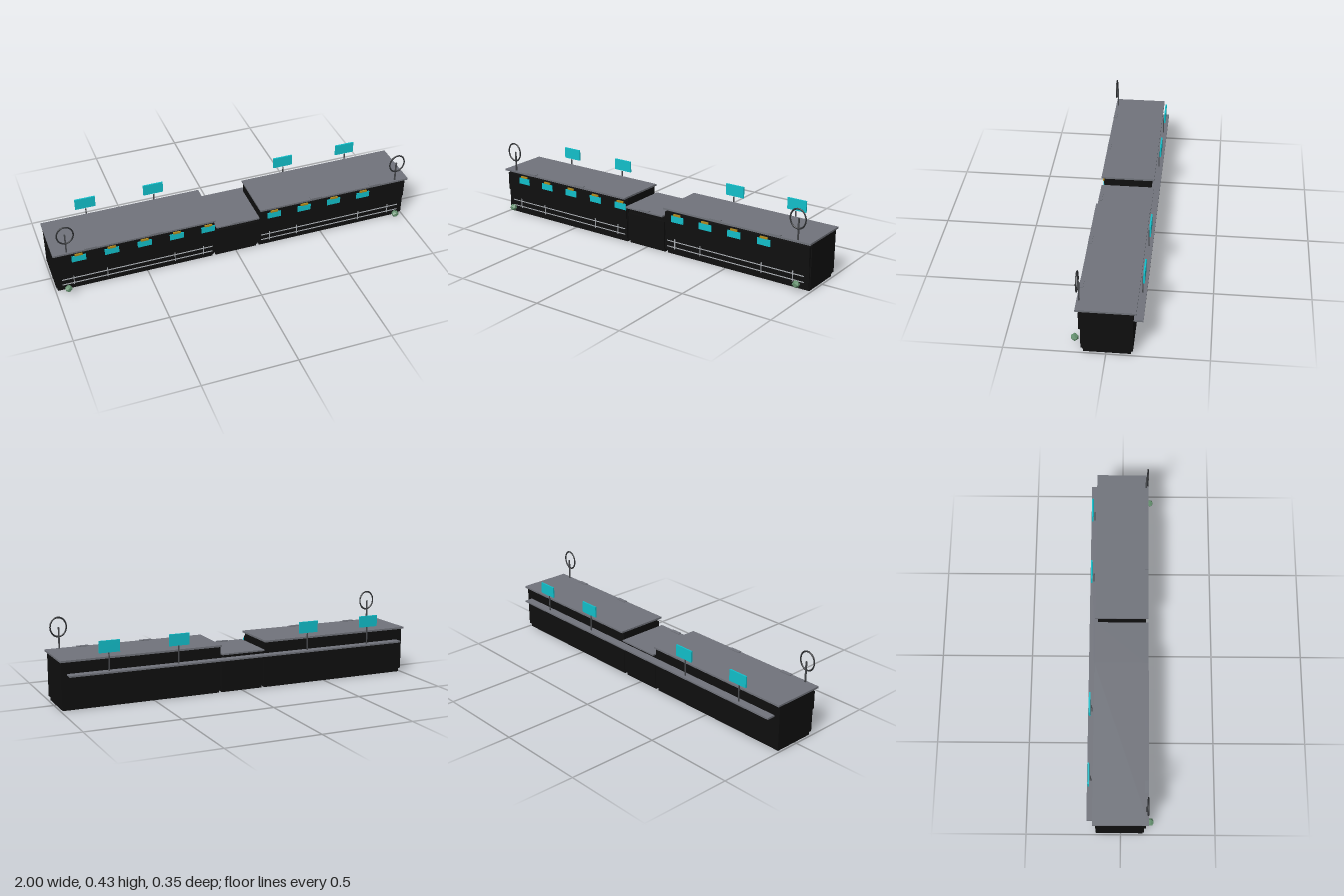
import * as THREE from 'three';

const mat = (name, color, extra = {}) => new THREE.MeshStandardMaterial({ name, color, ...extra });

export function createModel() {
  const black = mat('cabinet black', 0x0f0f0f);
  const grey = mat('worktop grey', 0x70737b);
  const darkGrey = mat('post grey', 0x47494d);
  const ringGrey = mat('ring dark grey', 0x2e3033);
  const silver = mat('rail silver', 0xa9adb2);
  const cyan = mat('screen cyan', 0x12bfca);
  const gold = mat('lamp gold', 0xb08a1e);
  const green = mat('ornament green', 0x64906e, { flatShading: true });

  const root = new THREE.Group();
  root.name = 'counter';

  // Box given by its min and max on each axis
  const box = (parent, name, material, [x0, x1], [y0, y1], [z0, z1]) => {
    const m = new THREE.Mesh(new THREE.BoxGeometry(x1 - x0, y1 - y0, z1 - z0), material);
    m.position.set((x0 + x1) / 2, (y0 + y1) / 2, (z0 + z1) / 2);
    m.name = name;
    parent.add(m);
    return m;
  };
  const around = (c, size) => [c - size / 2, c + size / 2];
  const span = (s, a, b) => (s > 0 ? [a, b] : [-b, -a]);

  // Low middle section
  const middle = new THREE.Group();
  middle.name = 'middleSection';
  root.add(middle);
  box(middle, 'middlePlinth', black, [-0.117, 0.117], [0, 0.022], [-0.12, 0.11]);
  box(middle, 'middleCabinet', black, [-0.122, 0.122], [0.022, 0.207], [-0.13, 0.115]);
  box(middle, 'middleFrontPanel', black, [-0.12, 0.12], [0.022, 0.175], [0.115, 0.123]);
  box(middle, 'middleWorktop', grey, [-0.122, 0.122], [0.207, 0.215], [-0.145, 0.145]);
  box(middle, 'middlePad', grey, around(0, 0.065), [0.215, 0.219], [0.125, 0.145]);

  // Two tall end sections
  for (const s of [-1, 1]) {
    const end = new THREE.Group();
    end.name = s > 0 ? 'leftSection' : 'rightSection';
    root.add(end);
    box(end, 'plinth', black, span(s, 0.135, 0.988), [0, 0.022], [-0.12, 0.11]);
    box(end, 'cabinet', black, span(s, 0.128, 0.995), [0.022, 0.253], [-0.13, 0.115]);
    box(end, 'frontPanel', black, span(s, 0.13, 0.99), [0.022, 0.175], [0.115, 0.123]);
    box(end, 'fascia', black, span(s, 0.13, 0.99), [0.138, 0.238], [0.115, 0.131]);
    box(end, 'worktop', grey, span(s, 0.127, 1), [0.253, 0.263], [-0.145, 0.145]);
    for (const x of [0.45, 0.8])
      box(end, 'worktopPad', grey, around(s * x, 0.065), [0.263, 0.267], [0.125, 0.145]);

    // Foot rails with uprights
    for (const y of [0.045, 0.077])
      box(end, 'footRail', silver, span(s, 0.14, 0.963), around(y, 0.004), [0.123, 0.127]);
    for (const x of [0.19, 0.35, 0.72, 0.9])
      box(end, 'railUpright', silver, around(s * x, 0.004), [0.035, 0.092], [0.123, 0.127]);

    // Ring on a post
    box(end, 'ringPost', darkGrey, around(s * 0.925, 0.007), [0.263, 0.375], [0.129, 0.136]);
    const ring = new THREE.Mesh(new THREE.TorusGeometry(0.043, 0.004, 8, 32), ringGrey);
    ring.name = 'ring';
    ring.scale.set(1, 1.18, 0.9);
    ring.position.set(s * 0.925, 0.375, 0.14);
    end.add(ring);

    // Faceted ornament at the foot
    const gem = new THREE.Mesh(new THREE.IcosahedronGeometry(0.021, 0), green);
    gem.name = 'ornament';
    gem.position.set(s * 0.938, 0.041, 0.157);
    end.add(gem);

    // Rear displays on posts
    for (const x of [0.376, 0.751]) {
      box(end, 'displayPost', darkGrey, around(s * x, 0.006), [0.19, 0.289], [-0.158, -0.153]);
      box(end, 'display', cyan, around(s * x, 0.11), [0.289, 0.351], [-0.169, -0.161]);
    }
  }

  // Small front screens with lamps
  for (const x of [-0.865, -0.69, -0.514, -0.339, -0.165, 0.21, 0.385, 0.56, 0.735]) {
    box(root, 'frontScreen', cyan, around(x, 0.076), [0.19, 0.225], [0.131, 0.136]);
    box(root, 'screenLamp', gold, around(x, 0.042), [0.227, 0.237], [0.131, 0.139]);
  }

  // Long rear shelf
  box(root, 'rearShelf', grey, [-0.962, 0.962], [0.182, 0.191], [-0.176, -0.13]);

  return root;
}
